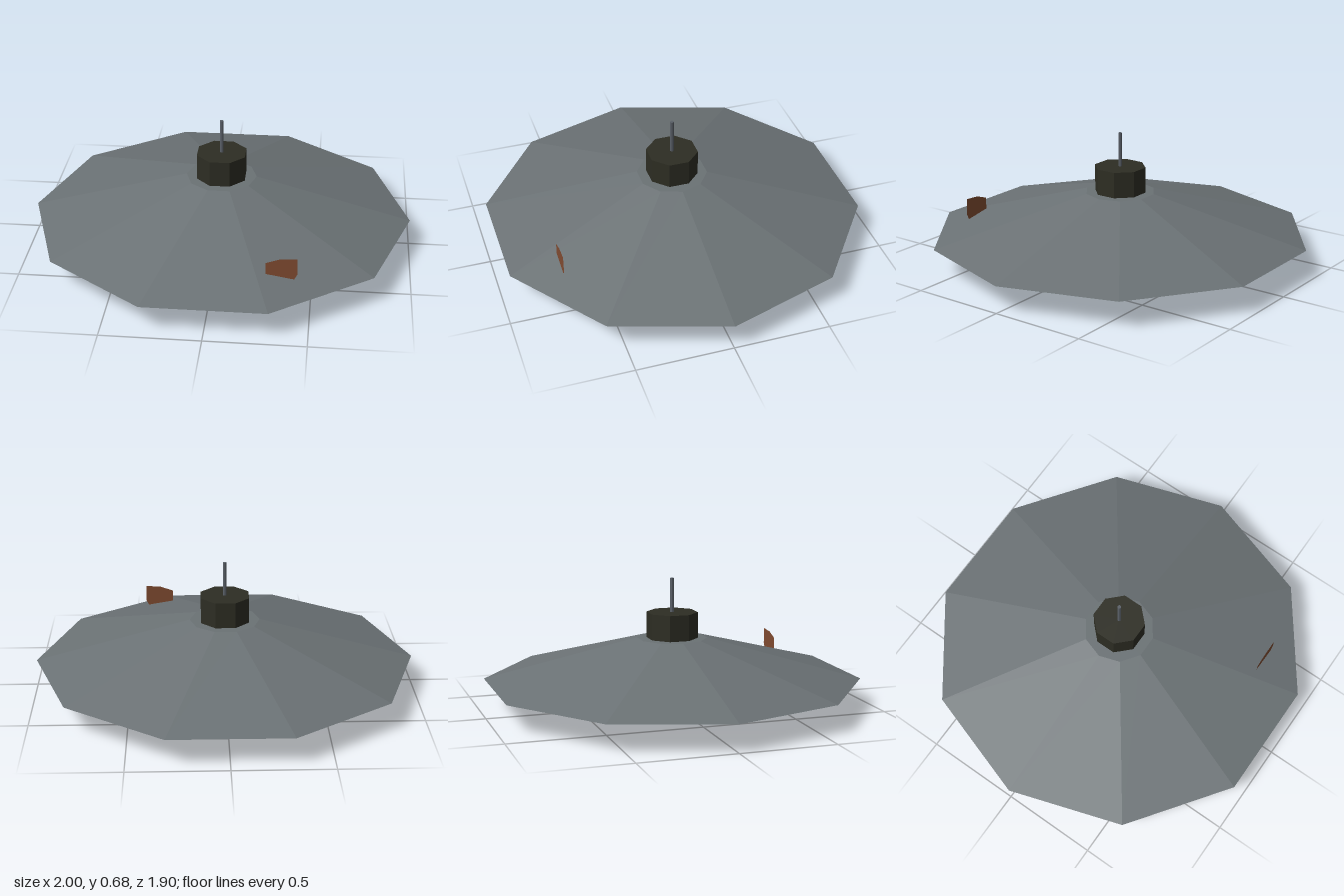
import * as THREE from 'three';

const material = (name, color, extra = {}) =>
  Object.assign(new THREE.MeshStandardMaterial({ color, flatShading: true, ...extra }), { name });

export function createModel() {
  const model = new THREE.Group();
  model.name = 'hangingLamp';

  const greyMetal = material('greyMetal', 0x6b7275);
  const darkMetal = material('darkMetal', 0x2d2d23);
  const rodMetal = material('rodMetal', 0x5a6068);
  const warmGlass = material('warmGlass', 0xd4b473);
  const rust = material('rust', 0x804b30, { side: THREE.DoubleSide });

  // Upright prism or frustum between two heights, turned so flat sides face front and back
  function addPrism(name, mat, sides, bottomRadius, topRadius, y0, y1) {
    const geometry = new THREE.CylinderGeometry(
      topRadius, bottomRadius, y1 - y0, sides, 1, false, Math.PI / sides);
    const mesh = new THREE.Mesh(geometry, mat);
    mesh.name = name;
    mesh.position.y = (y0 + y1) / 2;
    model.add(mesh);
  }

  addPrism('bulb', warmGlass, 8, 0.136, 0.136, 0, 0.15);
  addPrism('shade', greyMetal, 10, 1, 0.185, 0.14, 0.363);
  addPrism('socketCap', darkMetal, 8, 0.136, 0.136, 0.355, 0.5);
  addPrism('hangingRod', rodMetal, 8, 0.01, 0.01, 0.495, 0.68);

  // Flat rust flake standing out of the front slope
  const outline = [
    [0.28, 0.19], [0.40, 0.175], [0.42, 0.18], [0.435, 0.21],
    [0.432, 0.295], [0.35, 0.29], [0.28, 0.265],
  ].map(([x, y]) => new THREE.Vector2(x, y));
  const flake = new THREE.Mesh(new THREE.ShapeGeometry(new THREE.Shape(outline)), rust);
  flake.name = 'rustPatch';
  flake.position.z = 0.7;
  model.add(flake);

  return model;
}
